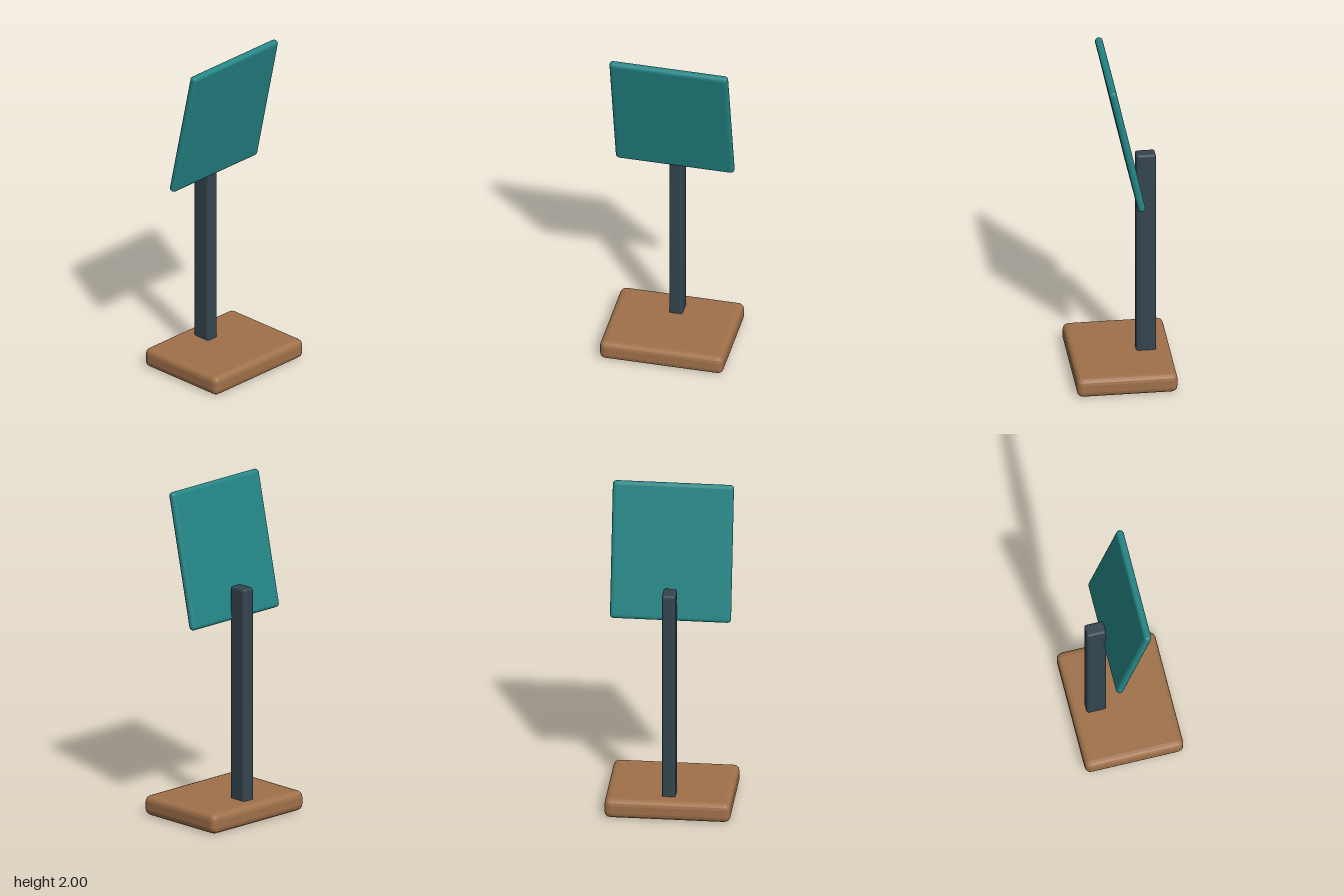
import * as THREE from 'three';
import { RoundedBoxGeometry } from 'three/addons/geometries/RoundedBoxGeometry.js';

// Box with softly rounded, faceted edges
function roundedPart(name, size, radius, position, color) {
  const mesh = new THREE.Mesh(
    new RoundedBoxGeometry(...size, 2, radius),
    new THREE.MeshStandardMaterial({ color, flatShading: true })
  );
  mesh.name = name;
  mesh.position.set(...position);
  return mesh;
}

export function createModel() {
  const group = new THREE.Group();
  group.name = 'stand';

  // Foot plate
  group.add(roundedPart('base', [0.738, 0.118, 0.59], 0.036, [0, 0.059, 0], 0xa0714a));

  // Upright, set towards the back of the base
  group.add(roundedPart('post', [0.08, 1.305, 0.117], 0.015, [0, 0.7525, -0.149], 0x34454f));

  // Panel leaning forward at the top
  const panel = roundedPart('panel', [0.708, 0.822, 0.045], 0.022, [0, 1.598, -0.001], 0x248586);
  panel.rotation.x = 0.216;
  group.add(panel);

  return group;
}
